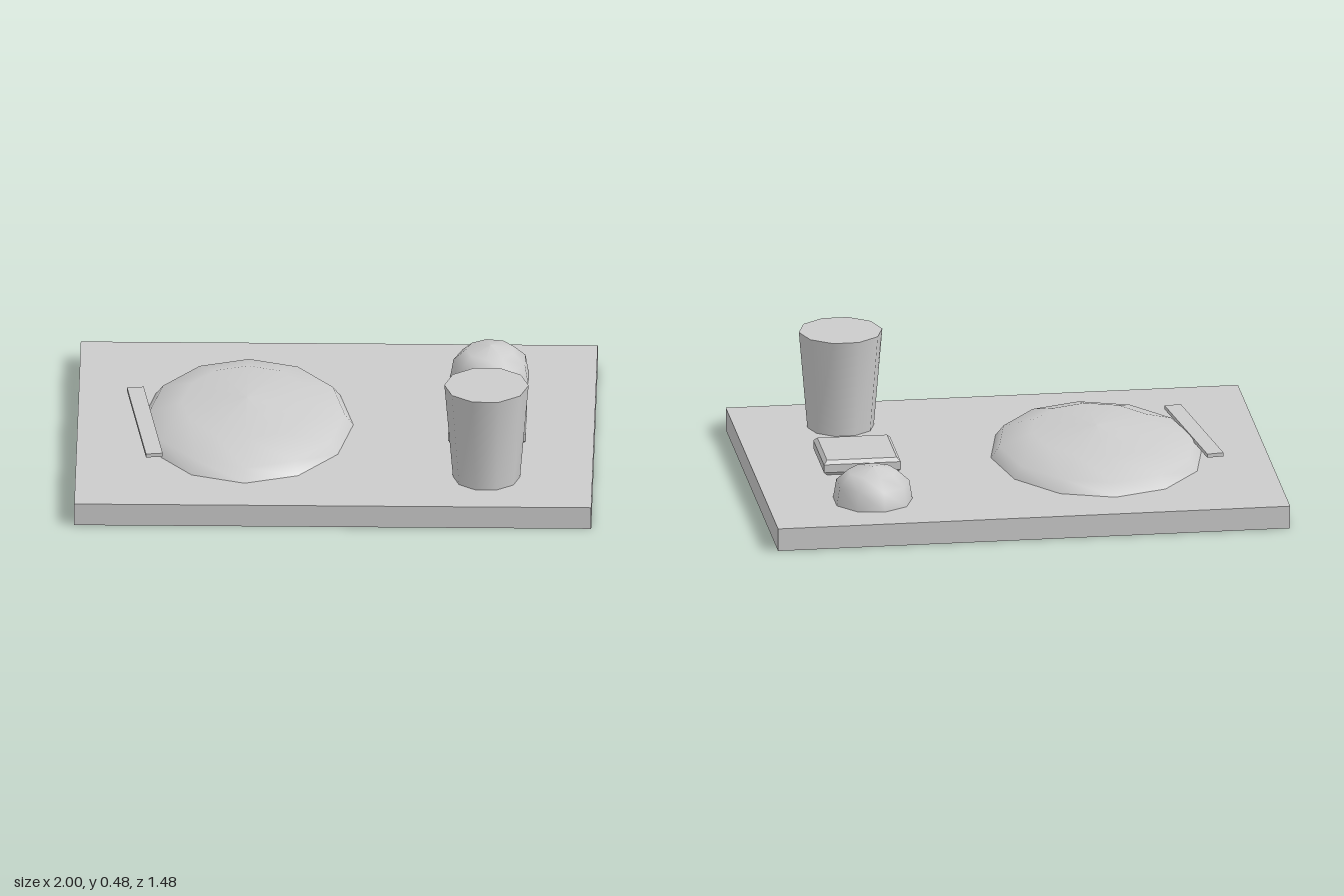
import * as THREE from 'three';
import { toCreasedNormals } from 'three/addons/utils/BufferGeometryUtils.js';

const grey = new THREE.MeshStandardMaterial({ color: 0xcccccc });
grey.name = 'plainGrey';

const TOP = 0.09; // height of the tray surface

function part(group, name, geometry, x, y, z) {
  const mesh = new THREE.Mesh(geometry, grey);
  mesh.name = name;
  mesh.position.set(x, y, z);
  group.add(mesh);
  return mesh;
}

// Low dome of unit radius and height, turned from [radius, height] pairs
function dome(profile, sides) {
  const points = profile.map(([r, h]) => new THREE.Vector2(r, h));
  return new THREE.LatheGeometry(points, sides).rotateY(-Math.PI / 2);
}

// Square slab with every edge chamfered
function chamferedSlab(width, height, depth, c) {
  const w = width / 2 - c, d = depth / 2 - c;
  const shape = new THREE.Shape([
    new THREE.Vector2(-w, -d), new THREE.Vector2(w, -d),
    new THREE.Vector2(w, d), new THREE.Vector2(-w, d),
  ]);
  const geometry = new THREE.ExtrudeGeometry(shape, {
    depth: height - 2 * c, bevelEnabled: true, bevelSegments: 1,
    bevelSize: c, bevelThickness: c,
  });
  return geometry.translate(0, 0, c).rotateX(-Math.PI / 2);
}

export function createModel() {
  const model = new THREE.Group();
  model.name = 'servingTray';

  // Flat tray
  part(model, 'tray', new THREE.BoxGeometry(2, TOP, 1.475), 0, TOP / 2, 0);

  // Wide oval loaf
  const loaf = part(model, 'loaf',
    dome([[1, 0], [0.92, 0.39], [0.61, 0.82], [0, 1]], 12), -0.345, TOP, 0);
  loaf.geometry.scale(0.412, 0.115, 0.538);

  // Thin knife resting beside the loaf
  const knife = part(model, 'knife', new THREE.BoxGeometry(0.065, 0.015, 0.608), -0.738, 0.134, 0.083);
  knife.rotation.y = 0.138;

  // Small round bun
  const bun = part(model, 'bun',
    dome([[1, 0], [0.92, 0.54], [0.61, 0.86], [0, 1]], 9), 0.59, TOP, -0.44);
  bun.geometry.scale(0.156, 0.138, 0.156);

  // Square butter pat
  part(model, 'butter', chamferedSlab(0.3, 0.06, 0.302, 0.014), 0.587, TOP, 0.018);

  // Tapered cup with a closed top
  const cup = new THREE.CylinderGeometry(0.163, 0.13, 0.39, 10).rotateY(Math.PI / 2);
  part(model, 'cup', toCreasedNormals(cup, 0.9), 0.59, TOP + 0.195, 0.46);

  return model;
}
